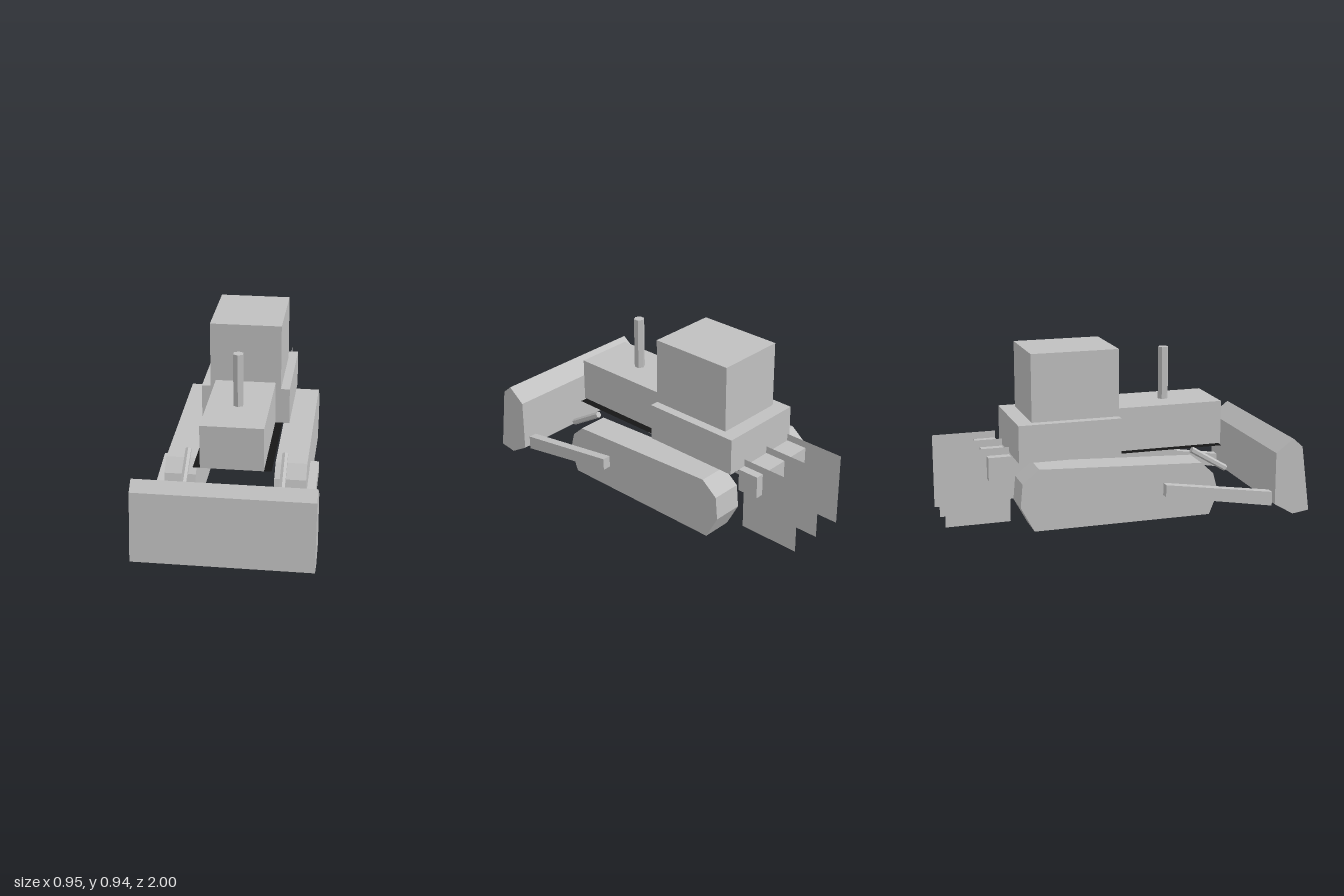
import * as THREE from 'three';

export function createModel() {
  const model = new THREE.Group();
  const grey = new THREE.MeshStandardMaterial({ color: 0xc0c0c0 });
  grey.name = 'paintedGrey';
  grey.flatShading = true;
  grey.side = THREE.DoubleSide;
  const black = new THREE.MeshStandardMaterial({ color: 0x161616 });
  black.name = 'undersideBlack';
  black.side = THREE.DoubleSide;

  const add = (name, geometry, material = grey) => {
    const mesh = new THREE.Mesh(geometry, material);
    mesh.name = name;
    model.add(mesh);
    return mesh;
  };

  // Box given by its low and high limits on each axis
  const box = (name, [x0, x1], [y0, y1], [z0, z1]) =>
    add(name, new THREE.BoxGeometry(x1 - x0, y1 - y0, z1 - z0))
      .position.set((x0 + x1) / 2, (y0 + y1) / 2, (z0 + z1) / 2);

  // Side profile of [z, y] points, extruded across x from x0 to x1
  const profile = (name, points, x0, x1) => {
    const shape = new THREE.Shape(points.map(([z, y]) => new THREE.Vector2(-z, y)));
    const geometry = new THREE.ExtrudeGeometry(shape, { depth: x1 - x0, bevelEnabled: false });
    geometry.rotateY(Math.PI / 2).translate(x0, 0, 0);
    return add(name, geometry);
  };

  // Six-sided rod between two points
  const rod = (name, from, to, radius) => {
    const dir = to.clone().sub(from);
    const mesh = add(name, new THREE.CylinderGeometry(radius, radius, dir.length(), 6));
    mesh.position.copy(from).add(to).multiplyScalar(0.5);
    mesh.quaternion.setFromUnitVectors(new THREE.Vector3(0, 1, 0), dir.normalize());
  };

  // Body, hood, cab and exhaust
  box('hood', [-0.17, 0.17], [0.357, 0.602], [-0.03, 0.583]);
  box('rearBody', [-0.25, 0.25], [0.357, 0.565], [-0.606, -0.03]);
  box('cab', [-0.2, 0.2], [0.565, 0.94], [-0.521, -0.03]);
  rod('exhaust', new THREE.Vector3(0, 0.6, 0.295), new THREE.Vector3(0, 0.9, 0.295), 0.03);

  // Thin black floor under the body
  const floor = add('floor', new THREE.PlaneGeometry(0.42, 1.178), black);
  floor.rotation.x = -Math.PI / 2;
  floor.position.set(0, 0.354, -0.014);

  // Blade across the front
  profile('blade', [
    [1.0, 0.013], [0.95, 0.385], [0.893, 0.435], [0.793, 0.36], [0.793, 0.065], [0.903, 0],
  ], -0.475, 0.475);

  // Tracks, push arms and lift cylinders on both sides
  const track = [
    [0.437, 0.015], [0.487, 0.14], [0.457, 0.25], [0.387, 0.315],
    [-0.528, 0.356], [-0.62, 0.282], [-0.632, 0.153], [-0.558, 0.015],
  ];
  const arm = [[0.793, 0.045], [0.793, 0.125], [0.165, 0.222], [0.165, 0.153]];
  for (const side of [1, -1]) {
    const name = side > 0 ? 'left' : 'right';
    const pair = (part, points, a, b) =>
      profile(name + part, points, Math.min(side * a, side * b), Math.max(side * a, side * b));
    pair('Track', track, 0.213, 0.385);
    pair('PushArm', arm, 0.388, 0.436);
    rod(name + 'LiftCylinder', new THREE.Vector3(side * 0.264, 0.236, 0.578),
      new THREE.Vector3(side * 0.264, 0.36, 0.373), 0.018);
  }

  // Ripper bar with three thin plates
  box('ripperBar', [-0.23, 0.23], [0.27, 0.397], [-0.768, -0.645]);
  for (const x of [-0.183, 0, 0.183]) {
    const plate = add('ripperPlate', new THREE.PlaneGeometry(0.357, 0.42));
    plate.rotation.y = Math.PI / 2;
    plate.position.set(x, 0.227, -0.8215);
  }

  return model;
}
